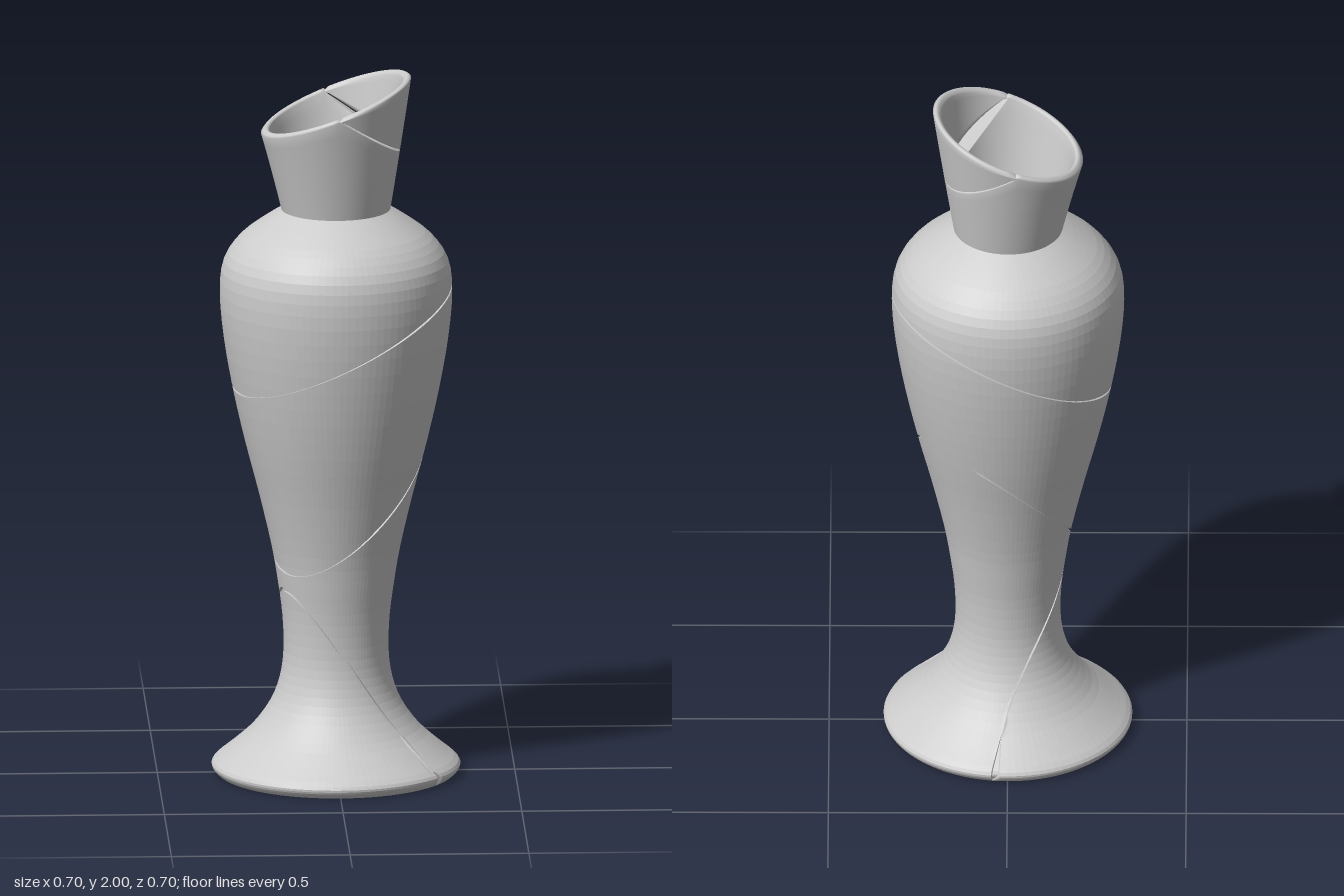
import * as THREE from 'three';

const TAU = Math.PI * 2;
const SEGS = 96;
const TOP = 1.62;

// Body outline: radius, height
const outline = [
  [0.33, 0], [0.345, 0.015], [0.343, 0.035], [0.295, 0.075], [0.235, 0.13], [0.185, 0.2],
  [0.158, 0.27], [0.147, 0.35], [0.15, 0.45], [0.163, 0.55], [0.18, 0.65], [0.215, 0.8],
  [0.254, 0.95], [0.288, 1.1], [0.314, 1.25], [0.325, 1.38], [0.314, 1.47], [0.27, 1.535],
  [0.205, 1.585], [0.15, TOP],
].map(([r, y]) => new THREE.Vector2(r, y));
const profile = new THREE.SplineCurve(outline).getPoints(57);

function radiusAt(y) {
  let k = 1;
  while (k < profile.length - 1 && profile[k].y < y) k++;
  const a = profile[k - 1], b = profile[k];
  const t = THREE.MathUtils.clamp((y - a.y) / (b.y - a.y), 0, 1);
  return a.x + (b.x - a.x) * t;
}

// Tilted plane y = a + b x + c z
const planeY = (p, x, z) => p.a + p.b * x + p.c * z;

// Root of a function that is negative at lo and positive at hi
function bisect(f, lo, hi) {
  for (let i = 0; i < 24; i++) {
    const mid = (lo + hi) / 2;
    if (f(mid) < 0) lo = mid; else hi = mid;
  }
  return (lo + hi) / 2;
}

// Surface from rows of points; point(i, j) gives [x, y, z], columns may wrap
function grid(point, cols, rows, wrap) {
  const pos = [], index = [];
  const n = wrap ? cols : cols + 1;
  for (let i = 0; i < n; i++) for (let j = 0; j <= rows; j++) pos.push(...point(i, j));
  for (let i = 0; i < cols; i++) {
    for (let j = 0; j < rows; j++) {
      const a = i * (rows + 1) + j, c = ((i + 1) % n) * (rows + 1) + j;
      index.push(a, a + 1, c, c, a + 1, c + 1);
    }
  }
  const g = new THREE.BufferGeometry();
  g.setAttribute('position', new THREE.Float32BufferAttribute(pos, 3));
  g.setIndex(index);
  g.computeVertexNormals();
  return g;
}

// Breaks through the body, from the foot upward
const breaks = [
  { a: 0.29, b: -1.41, c: 0.62 },
  { a: 0.75, b: 0.72, c: -0.6, closedAt: -Math.PI / 4 },
  { a: 1.25, b: 0.47, c: -0.12 },
];

// Height at which a break crosses the body outline in one direction
function breakHeight(p, th) {
  const f = (y) => y - planeY(p, radiusAt(y) * Math.cos(th), radiusAt(y) * Math.sin(th));
  let y = TOP;
  while (y > 0 && f(y) > 0) y -= 0.02;
  return y <= 0 ? 0 : bisect(f, y, y + 0.02);
}

function halfGap(p, th) {
  if (p.closedAt !== undefined && Math.cos(th - p.closedAt) > 0.9) return 0;
  return 0.003 * Math.hypot(1, p.b, p.c);
}

// One fragment of the body between two breaks, its edges folded inward
function bodyFragment(under, over) {
  const rows = profile.length + 1;
  return grid((i, j) => {
    const th = (i / SEGS) * TAU;
    let lo = 0, hi = TOP;
    if (under) { lo = breakHeight(under, th); if (lo > 0) lo += halfGap(under, th); }
    if (over) hi = Math.max(0, breakHeight(over, th) - halfGap(over, th));
    lo = Math.min(lo, hi);
    const k = THREE.MathUtils.clamp(j - 1, 0, profile.length - 1);
    const y = THREE.MathUtils.clamp(profile[k].y, lo, hi);
    const r = radiusAt(y) - (j === 0 || j === rows ? 0.014 : 0);
    return [r * Math.cos(th), y, r * Math.sin(th)];
  }, SEGS, rows, true);
}

// Neck: t runs from the shoulder to the slanted rim, w from outer to inner wall
const rim = { a: 1.915, b: 0.38, c: 0 };
const neckBreak = { a: 1.905, b: -0.65, c: 0.075 };

function neckPoint(th, t, w) {
  const base = 0.15 - 0.006 * w;
  const x = Math.cos(th) * (base + (0.21 - 0.024 * w - base) * t);
  const z = Math.sin(th) * (base + (0.221 - 0.024 * w - base) * t);
  return [x, 1.605 + (planeY(rim, x, z) - 1.605) * t, z];
}

function neckBreakAt(th, w) {
  const f = (t) => {
    const [x, y, z] = neckPoint(th, t, w);
    return y - planeY(neckBreak, x, z);
  };
  return f(1) < 0 ? 1 : bisect(f, 0, 1);
}

// Closed section: up the outside, over the rounded lip, down the inside
function neckFragment(isTip) {
  const wall = 8, lip = 6, rows = wall * 2 + lip + 1;
  return grid((i, j) => {
    const th = (i / SEGS) * TAU;
    let w = 0, s = 1;
    if (j === rows) s = 0;
    else if (j <= wall) s = j / wall;
    else if (j < wall + lip) w = (j - wall) / lip;
    else { w = 1; s = 1 - (j - wall - lip) / wall; }
    const cut = neckBreakAt(th, w);
    const lo = isTip ? Math.min(1, cut + 0.009) : 0;
    const hi = isTip || cut === 1 ? 1 : cut - 0.009;
    const p = neckPoint(th, lo + (hi - lo) * s, w);
    if (hi === 1 && lo < 1) p[1] += 0.009 * Math.sin(Math.PI * w) * s;
    return p;
  }, SEGS, rows, true);
}

// Flat ledge left inside the neck along its break, with a V-shaped edge
function neckLedge() {
  const stops = [-1.72, -0.175, 1.57], half = 20;
  const wallPoint = (th) => neckPoint(th, neckBreakAt(th, 1), 1);
  return grid((i, j) => {
    const k = i < half ? 0 : 1, u = (i - k * half) / half;
    const th = stops[k] + (stops[k + 1] - stops[k]) * u;
    if (j === 1) return wallPoint(th);
    const a = wallPoint(stops[k]), b = wallPoint(stops[k + 1]);
    return a.map((v, n) => v + (b[n] - v) * u);
  }, half * 2, 1, false);
}

export function createModel() {
  const group = new THREE.Group();
  const smooth = new THREE.MeshStandardMaterial({ color: 0xcccccc });
  const faceted = new THREE.MeshStandardMaterial({ color: 0xcccccc, flatShading: true });
  const thin = new THREE.MeshStandardMaterial({ color: 0xcccccc, side: THREE.DoubleSide });
  const add = (name, geometry, material) => {
    const mesh = new THREE.Mesh(geometry, material);
    mesh.name = name;
    group.add(mesh);
    return mesh;
  };

  // Body fragments
  ['foot', 'lowerBody', 'middleBody', 'shoulder'].forEach((name, i) =>
    add(name, bodyFragment(breaks[i - 1], breaks[i]), faceted));

  // Core seen through the gaps; its top is the floor of the neck
  const core = profile.map((p) => new THREE.Vector2(p.x - 0.008, THREE.MathUtils.clamp(p.y, 0.006, 1.61)));
  add('core', new THREE.LatheGeometry(
    [new THREE.Vector2(0, 0.006), ...core, new THREE.Vector2(0, 1.61)], SEGS), faceted);

  // Underside in two pieces along the lowest break
  const from = Math.atan2(-0.33, 0.04), to = Math.atan2(0.19, 0.27);
  [[from + 0.012, to - 0.012], [to + 0.012, from - 0.012 + TAU]].forEach(([a, b], i) => {
    const piece = new THREE.Shape().absarc(0, 0, 0.33, a, b, false);
    const geometry = new THREE.ShapeGeometry(piece, 48).rotateX(Math.PI / 2);
    add(i ? 'undersideLarge' : 'undersideSmall', geometry, faceted);
  });

  // Neck and its broken lip
  add('neck', neckFragment(false), smooth);
  add('neckTip', neckFragment(true), smooth);
  add('neckLedge', neckLedge(), thin);
  return group;
}
